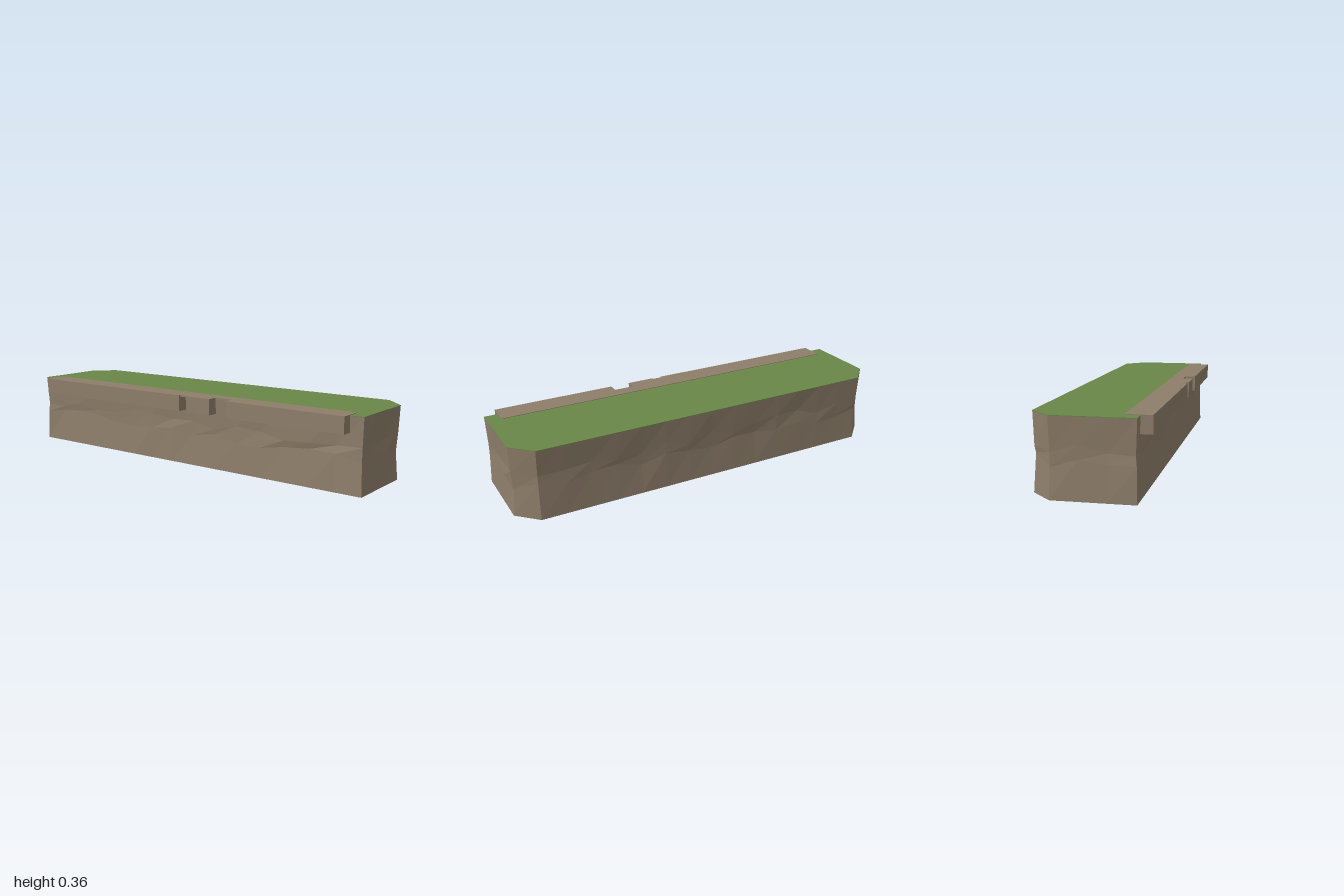
import * as THREE from 'three';

const H = 0.353; // ground height

// Ground outline as [x, z], front edge first
const OUTLINE = [[-1, 0.207], [1, 0.207], [1, -0.16], [0.9, -0.258], [-0.9, -0.258], [-1, -0.16]];

function seeded(seed) {
  return () => (seed = (seed * 16807) % 2147483647) / 2147483647;
}

// Rock walls: rings of points around the outline, with the middle rings pushed inward unevenly
function wallGeometry() {
  const rand = seeded(41);
  const ring = [];
  OUTLINE.forEach(([x, z], i) => {
    const [nx, nz] = OUTLINE[(i + 1) % OUTLINE.length];
    const steps = Math.max(1, Math.round(Math.hypot(nx - x, nz - z) / 0.13));
    for (let s = 0; s < steps; s++) {
      ring.push([x + (nx - x) * s / steps, z + (nz - z) * s / steps]);
    }
  });
  const rows = [0, 0.16, 0.22, H];
  const positions = [];
  const index = [];
  const n = ring.length;
  rows.forEach((y, r) => {
    const middle = r > 0 && r < rows.length - 1;
    for (const [x, z] of ring) {
      const dx = THREE.MathUtils.clamp(x, -0.88, 0.88) - x;
      const dz = THREE.MathUtils.clamp(z, -0.14, 0.1) - z;
      const push = middle ? (0.004 + 0.009 * rand()) / Math.hypot(dx, dz) : 0;
      const lift = middle ? (rand() - 0.5) * 0.05 : 0;
      positions.push(x + dx * push, y + lift, z + dz * push);
    }
  });
  for (let r = 0; r < rows.length - 1; r++) {
    for (let i = 0; i < n; i++) {
      const a = r * n + i, b = r * n + (i + 1) % n;
      index.push(a, b, b + n, a, b + n, a + n);
    }
  }
  const geometry = new THREE.BufferGeometry();
  geometry.setAttribute('position', new THREE.Float32BufferAttribute(positions, 3));
  geometry.setIndex(index);
  const flat = geometry.toNonIndexed();
  flat.computeVertexNormals();
  return flat;
}

export function createModel() {
  const rock = new THREE.MeshStandardMaterial({ color: 0x8e7e6a });
  rock.name = 'rock brown';
  const grass = new THREE.MeshStandardMaterial({ color: 0x698746 });
  grass.name = 'grass green';

  const group = new THREE.Group();
  group.name = 'cliffBlock';
  const add = (name, geometry, material) => {
    const mesh = new THREE.Mesh(geometry, material);
    mesh.name = name;
    group.add(mesh);
    return mesh;
  };
  const box = (name, x0, x1, y0, y1, z0, z1) => {
    const mesh = add(name, new THREE.BoxGeometry(x1 - x0, y1 - y0, z1 - z0), rock);
    mesh.position.set((x0 + x1) / 2, (y0 + y1) / 2, (z0 + z1) / 2);
  };

  // Cliff body with underside and thin grass cover
  const shape = new THREE.Shape(OUTLINE.map(([x, z]) => new THREE.Vector2(x, z)));
  add('cliffWalls', wallGeometry(), rock);
  add('underside', new THREE.ShapeGeometry(shape).rotateX(Math.PI / 2), rock);
  const cover = new THREE.ExtrudeGeometry(shape, { depth: 0.003, bevelEnabled: false });
  add('grassTop', cover.rotateX(Math.PI / 2), grass).position.y = H;

  // Stone lip: a flat strip on the grass and three blocks overhanging the front
  const top = 0.3555;
  box('lipStrip', -0.933, 0.933, 0.345, top, 0.14, 0.207);
  for (const [x0, x1] of [[-0.933, 0.028], [0.075, 0.215], [0.315, 0.933]]) {
    box('lipBlock', x0, x1, 0.276, top, 0.19, 0.258);
  }
  // Thin slab bridging the narrow gap
  box('lipBridge', 0.028, 0.075, 0.348, top, 0.2, 0.249);
  return group;
}
